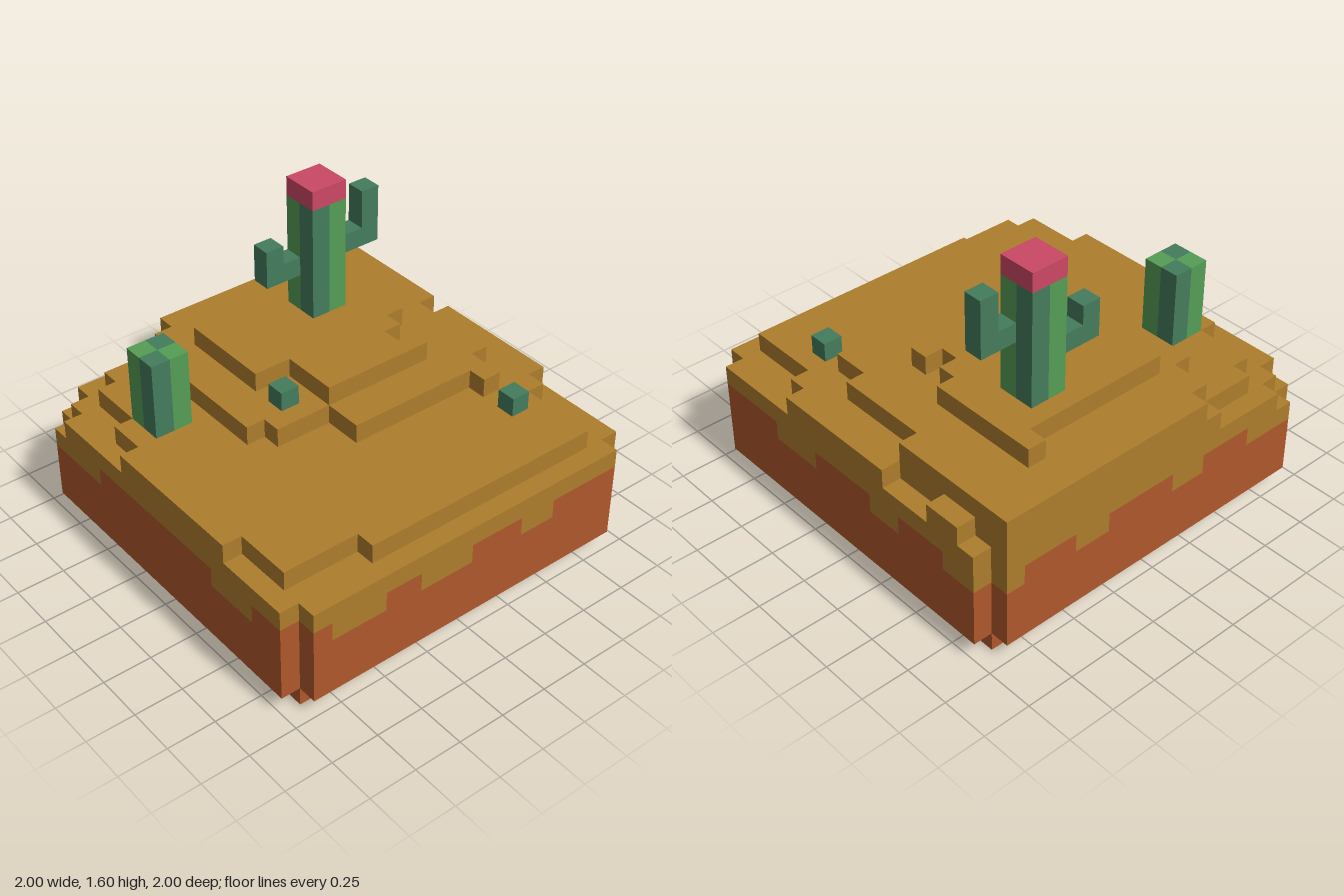
import * as THREE from 'three';

const paint = (name, color) => {
  const m = new THREE.MeshStandardMaterial({ color });
  m.name = name;
  return m;
};

export function createModel() {
  const root = new THREE.Group();
  root.name = 'desertIsland';
  const sand = paint('sand', 0xad7d2c);
  const clay = paint('clay', 0xae572c);
  const light = paint('lightGreen', 0x559d55);
  const dark = paint('darkGreen', 0x447c5c);
  const pink = paint('flowerPink', 0xcb4865);

  // Box given by its min and max corners
  const block = (parent, name, mat, [x0, y0, z0], [x1, y1, z1]) => {
    const mesh = new THREE.Mesh(new THREE.BoxGeometry(x1 - x0, y1 - y0, z1 - z0), mat);
    mesh.position.set((x0 + x1) / 2, (y0 + y1) / 2, (z0 + z1) / 2);
    mesh.name = name;
    parent.add(mesh);
  };

  // Flat slab from an outline of x, z pairs
  const slab = (name, mat, y0, y1, outline) => {
    const shape = new THREE.Shape(outline.map(([x, z]) => new THREE.Vector2(x, -z)));
    const geo = new THREE.ExtrudeGeometry(shape, { depth: y1 - y0, bevelEnabled: false });
    geo.rotateX(-Math.PI / 2);
    geo.translate(0, y0, 0);
    const mesh = new THREE.Mesh(geo, mat);
    mesh.name = name;
    root.add(mesh);
  };

  // Clay foundation and body, with notched corners
  const threeCorners = [[-1, -0.9], [-0.9, -0.9], [-0.9, -1], [0.9, -1], [0.9, -0.9], [1, -0.9],
    [1, 0.9], [0.9, 0.9], [0.9, 1]];
  block(root, 'foundation', clay, [-0.9, 0, -0.9], [0.9, 0.1, 0.9]);
  slab('clayBody', clay, 0.1, 0.4, [...threeCorners, [-0.9, 1], [-0.9, 0.9], [-1, 0.9]]);

  // Ragged seam: alternating runs of sand and clay along each side
  const seam = new THREE.Group();
  seam.name = 'raggedSeam';
  root.add(seam);
  const sides = {
    front: { first: sand, cuts: [-0.9, -0.5, 0.4, 0.7, 0.9] },
    back: { first: sand, cuts: [-0.9, -0.7, -0.4, -0.2, 0.2, 0.5, 0.9] },
    left: { first: clay, cuts: [-0.9, -0.5, -0.3, 0, 0.3, 0.5, 0.8, 0.9] },
    right: { first: sand, cuts: [-0.9, -0.8, -0.5, -0.3, 0.1, 0.3, 0.6, 0.9] },
  };
  // the left side runs clay, sand, clay ... from back to front
  for (const [side, { first, cuts }] of Object.entries(sides)) {
    const edge = side === 'front' || side === 'left' ? 0.9 : -1;
    for (let i = 0; i + 1 < cuts.length; i++) {
      const mat = (i % 2 === 0) === (first === sand) ? sand : clay;
      const a = cuts[i], b = cuts[i + 1];
      if (side === 'front' || side === 'back') {
        block(seam, side + 'Seam', mat, [a, 0.4, edge], [b, 0.5, edge + 0.1]);
      } else {
        block(seam, side + 'Seam', mat, [edge, 0.4, a], [edge + 0.1, 0.5, b]);
      }
    }
  }

  // Sand terraces, from the lowest to the hilltop
  slab('lowTerrace', sand, 0.5, 0.6, [...threeCorners,
    [-0.8, 1], [-0.8, 0.9], [-0.9, 0.9], [-0.9, 0.8], [-1, 0.8]]);
  slab('middleTerrace', sand, 0.6, 0.7, [
    [-1, -0.9], [-0.8, -0.9], [-0.8, -1], [-0.6, -1], [-0.6, -0.9], [-0.3, -0.9], [-0.3, -1],
    [0.4, -1], [0.4, -0.9], [0.5, -0.9], [0.5, -0.8], [0.9, -0.8], [0.9, 0.5], [0.8, 0.5],
    [0.8, 0.9], [0.5, 0.9], [0.5, 1], [-0.3, 1], [-0.3, 0.9], [-0.5, 0.9], [-0.5, 0.8],
    [-0.8, 0.8], [-0.8, 0.7], [-0.9, 0.7], [-0.9, 0.4], [-1, 0.4]]);
  slab('highTerrace', sand, 0.7, 0.8, [
    [-1, -0.9], [-0.3, -0.9], [-0.3, -0.8], [0.2, -0.8], [0.2, -0.7], [0.4, -0.7], [0.4, -0.6],
    [0.3, -0.6], [0.3, 0.1], [0.1, 0.1], [0.1, 0.4], [0, 0.4], [0, 0.5], [-0.7, 0.5],
    [-0.7, 0.4], [-0.9, 0.4], [-0.9, 0.3], [-1, 0.3]]);
  slab('hilltop', sand, 0.8, 0.9, [
    [-0.8, -0.6], [-0.2, -0.6], [-0.2, -0.5], [-0.1, -0.5], [-0.1, -0.4], [0, -0.4], [0, -0.5],
    [0.1, -0.5], [0.1, 0.1], [-0.2, 0.1], [-0.2, 0.3], [-0.7, 0.3], [-0.7, -0.5], [-0.8, -0.5]]);

  // Cactus trunk: four columns in a two-tone checker
  const cactus = (name, x, z, y0, y1) => {
    const g = new THREE.Group();
    g.name = name;
    root.add(g);
    for (let i = 0; i < 2; i++) {
      for (let j = 0; j < 2; j++) {
        const cx = x + i * 0.1, cz = z + j * 0.1;
        block(g, 'trunkColumn', i === j ? dark : light, [cx, y0, cz], [cx + 0.1, y1, cz + 0.1]);
      }
    }
    return g;
  };
  cactus('smallCactus', -0.5, 0.6, 0.7, 1.1);
  const tall = cactus('tallCactus', -0.6, -0.4, 0.9, 1.5);
  block(tall, 'flower', pink, [-0.6, 1.5, -0.4], [-0.4, 1.6, -0.2]);
  block(tall, 'frontArm', dark, [-0.6, 1.1, -0.2], [-0.5, 1.2, -0.1]);
  block(tall, 'frontArmTip', dark, [-0.6, 1.1, -0.1], [-0.5, 1.3, 0]);
  block(tall, 'backArm', dark, [-0.5, 1.2, -0.5], [-0.4, 1.3, -0.4]);
  block(tall, 'backArmTip', dark, [-0.5, 1.2, -0.6], [-0.4, 1.5, -0.5]);

  // Sprouts
  block(root, 'frontSprout', dark, [-0.1, 0.8, 0.2], [0, 0.9, 0.3]);
  block(root, 'backSprout', dark, [0.5, 0.7, -0.7], [0.6, 0.8, -0.6]);
  return root;
}
